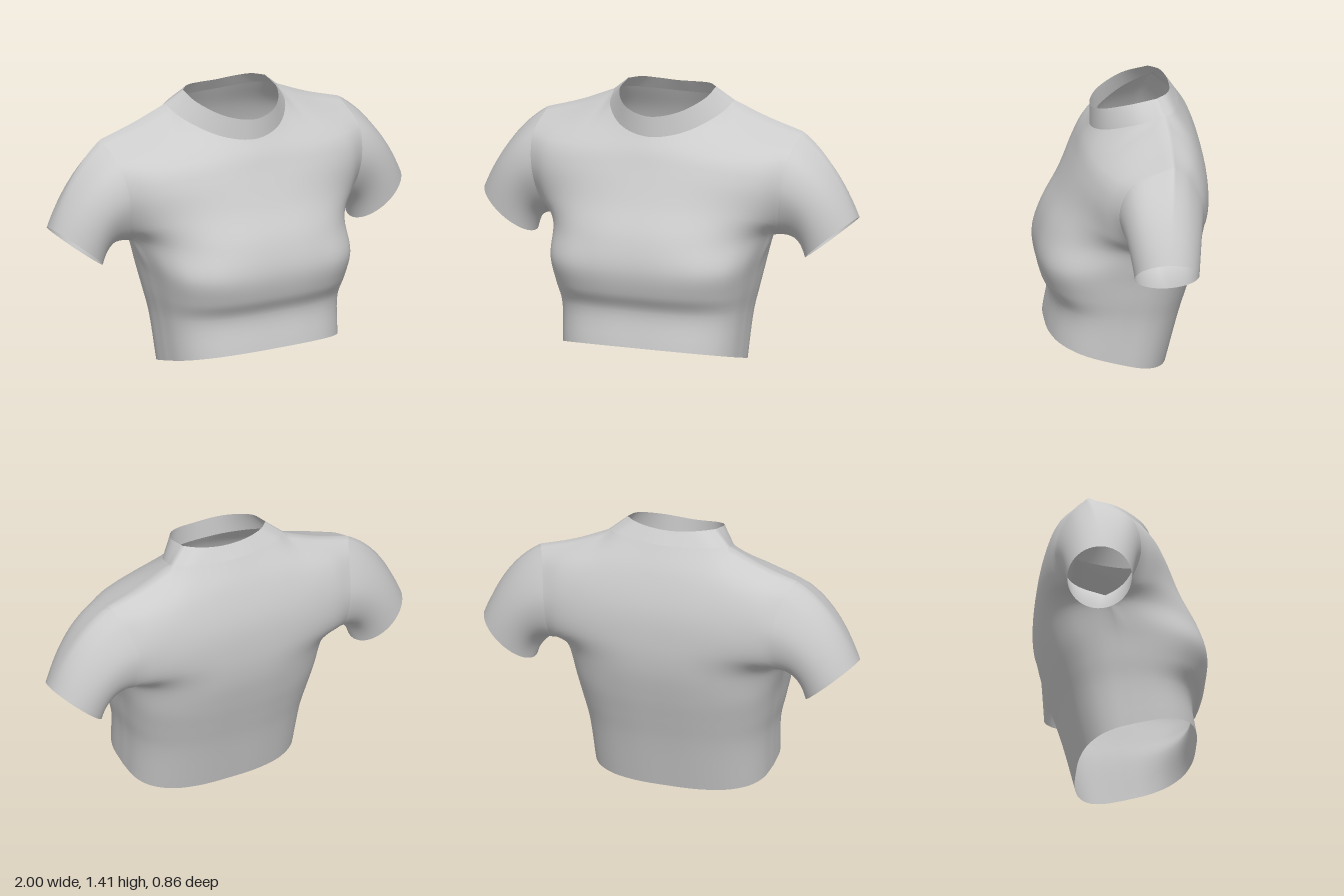
import * as THREE from 'three';
import { mergeGeometries, mergeVertices } from 'three/addons/utils/BufferGeometryUtils.js';

const V = (p) => new THREE.Vector3(...p);
const U_STEPS = 60, V_STEPS = 48;

// Points along a spline that may have sharp corners at the given point indices.
function sample(points, steps, corners = []) {
  const last = points.length - 1;
  const stops = [0, ...corners, last];
  const out = [];
  for (let s = 0; s < stops.length - 1; s++) {
    const curve = new THREE.CatmullRomCurve3(points.slice(stops[s], stops[s + 1] + 1));
    const n = Math.round(steps * (stops[s + 1] - stops[s]) / last);
    for (let i = s ? 1 : 0; i <= n; i++) out.push(curve.getPoint(i / n));
  }
  return out;
}

// Half a row (centre to its left edge) extended to the full width.
const mirrored = (half) => [
  ...half.slice(1).reverse().map((p) => new THREE.Vector3(-p.x, p.y, p.z)), ...half,
];

// Skin a grid of points, grid[row][column].
function skin(grid, flip = false) {
  const w = grid[0].length, index = [];
  for (let j = 0; j < grid.length - 1; j++) {
    for (let i = 0; i < w - 1; i++) {
      const a = j * w + i, b = a + 1, c = a + w, d = c + 1;
      index.push(...(flip ? [a, c, b, b, c, d] : [a, b, c, b, d, c]));
    }
  }
  const geometry = new THREE.BufferGeometry().setFromPoints(grid.flat());
  geometry.setIndex(index);
  return geometry;
}

function clothMesh(name, parts) {
  const geometry = mergeVertices(mergeGeometries(parts), 1e-4);
  geometry.computeVertexNormals();
  const material = new THREE.MeshStandardMaterial({ color: 0xcccccc, side: THREE.DoubleSide });
  const mesh = new THREE.Mesh(geometry, material);
  mesh.name = name;
  return mesh;
}

// Seams shared by the front and back panels
const sideSeam = [[0.463, 0.075, 0.05], [0.48, 0.3, 0.02], [0.503, 0.42, 0], [0.528, 0.55, -0.025], [0.575, 0.69, -0.09]];
const shoulderSeam = [[0.325, 1.34, -0.2], [0.5, 1.268, -0.21], [0.69, 1.21, -0.21]];

// Each level: centre height, centre depth, squareness, share of the curve used
const front = {
  levels: [
    [0.16, 0.38, 2.8, 1], [0.34, 0.358, 2.8, 1], [0.44, 0.405, 3, 1], [0.57, 0.43, 3.2, 1],
    [0.72, 0.395, 2.8, 0.99], [0.88, 0.31, 2.4, 0.97], [1.04, 0.235, 2.2, 0.93], [1.13, 0.195, 1.7, 0.9],
  ],
  armhole: [[0.635, 0.77, 0], [0.67, 0.95, 0.06], [0.69, 1.11, 0]],
  neck: [[0, 1.2, 0.15], [0.16, 1.225, 0.1], [0.29, 1.29, -0.05]],
  collarTop: [[0, 1.305, 0.15], [0.14, 1.33, 0.105], [0.232, 1.38, -0.03], [0.238, 1.41, -0.165]],
};
const back = {
  levels: [
    [0.003, -0.225, 2.8, 1], [0.27, -0.295, 2.8, 1], [0.4, -0.335, 2.8, 1], [0.53, -0.375, 2.8, 1],
    [0.69, -0.415, 2.8, 0.99], [0.84, -0.43, 2.8, 0.95], [1.02, -0.42, 2.5, 0.9], [1.2, -0.365, 2.2, 0.9],
  ],
  armhole: [[0.6, 0.77, -0.315], [0.612, 0.95, -0.37], [0.645, 1.13, -0.3]],
  neck: [[0, 1.335, -0.295], [0.15, 1.34, -0.28], [0.265, 1.345, -0.25]],
  collarTop: [[0, 1.4, -0.25], [0.1, 1.405, -0.243], [0.185, 1.412, -0.215], [0.238, 1.41, -0.165]],
};

// One body panel, as a grid from hem to neckline and shoulders
function panelGrid({ levels, armhole, neck }) {
  const edges = [...sideSeam, ...armhole];
  const low = [0, 0.38, 0.68, 0.88, 0.975, 1], high = [0, 0.23, 0.42, 0.6, 0.8, 1];
  const rows = levels.map(([y, z, m, k], r) => {
    const edge = V(edges[r]), blend = Math.max(0, (r - 3) / 5);
    const bulge = (s) => Math.pow(1 - Math.pow(s * k, m), 1 / m);
    const half = low.map((s0, i) => {
      const s = THREE.MathUtils.lerp(s0, high[i], blend);
      const f = (bulge(s) - bulge(1)) / (1 - bulge(1));
      return new THREE.Vector3(edge.x * s, edge.y + (y - edge.y) * f, edge.z + (z - edge.z) * f);
    });
    return sample(mirrored(half), U_STEPS);
  });
  rows.push(sample(mirrored([...neck, ...shoulderSeam].map(V)), U_STEPS, [2, 8]));

  // Run splines up the columns; the outer ones turn a corner at the underarm
  const columns = rows[0].map((_, i) =>
    sample(rows.map((row) => row[i]), V_STEPS, i === 0 || i === U_STEPS ? [4] : []));
  return Array.from({ length: V_STEPS + 1 }, (_, j) => columns.map((c) => c[j]));
}

// Sleeve: lofted from the armhole to a tilted round cuff, with a soft bend
function sleeveGrid(frontGrid, backGrid) {
  const armholeEdge = (grid) => grid.slice(V_STEPS / 2).map((row) => row[U_STEPS]);
  const loop = [...armholeEdge(frontGrid), ...armholeEdge(backGrid).reverse().slice(1)];
  const centre = new THREE.Vector3(0.867, 0.688, -0.163);
  const across = new THREE.Vector3(0.133, 0.11, 0);
  const bend = new THREE.Vector3(0.04, 0.085, 0);
  const bows = loop.map((start, i) => {
    const a = (i / (loop.length - 1)) * Math.PI * 2;
    const end = centre.clone().addScaledVector(across, -Math.cos(a));
    end.z += 0.163 * Math.sin(a);
    const control = start.clone().lerp(end, 0.5).add(bend);
    return new THREE.QuadraticBezierCurve3(start, control, end).getPoints(16);
  });
  return Array.from({ length: 17 }, (_, j) => bows.map((b) => b[j]));
}

// Half of the standing collar, rising from the neckline
function collarGrid({ neck, collarTop }) {
  const base = sample(mirrored([...neck, shoulderSeam[0]].map(V)), 36);
  const top = sample(mirrored(collarTop.map(V)), 36);
  return Array.from({ length: 7 }, (_, j) => base.map((p, i) => p.clone().lerp(top[i], j / 6)));
}

export function createModel() {
  const group = new THREE.Group();
  group.name = 'croppedTop';

  const frontGrid = panelGrid(front), backGrid = panelGrid(back);
  group.add(clothMesh('body', [skin(frontGrid), skin(backGrid, true)]));
  group.add(clothMesh('collar', [skin(collarGrid(front)), skin(collarGrid(back), true)]));

  // Sleeves, mirrored point by point so the faces stay outward
  const left = sleeveGrid(frontGrid, backGrid);
  const right = left.map((row) => row.map((p) => new THREE.Vector3(-p.x, p.y, p.z)));
  group.add(clothMesh('leftSleeve', [skin(left, true)]));
  group.add(clothMesh('rightSleeve', [skin(right)]));
  return group;
}
